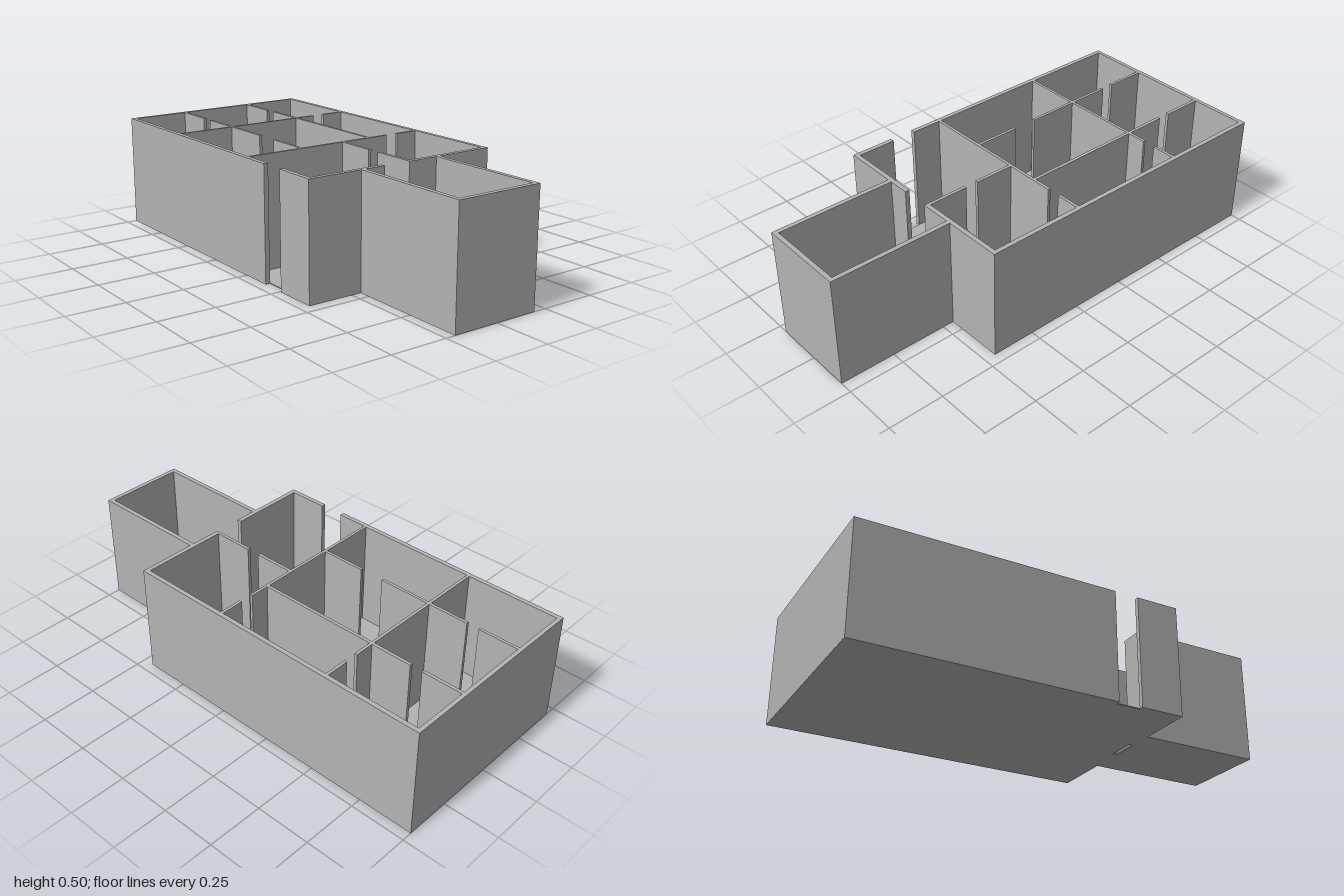
import * as THREE from 'three';

const H = 0.5;          // wall height
const FLOOR = 0.004;    // floor thickness

export function createModel() {
  const model = new THREE.Group();
  model.name = 'floorPlan';
  const plaster = new THREE.MeshStandardMaterial({ color: 0xb3b3b3 });
  plaster.name = 'grey plaster';

  // Block spanning x0..x1, z0..z1, standing on the ground
  const block = (parent, name, x0, x1, z0, z1, h = H) => {
    const mesh = new THREE.Mesh(new THREE.BoxGeometry(x1 - x0, h, z1 - z0), plaster);
    mesh.position.set((x0 + x1) / 2, h / 2, (z0 + z1) / 2);
    mesh.name = name;
    parent.add(mesh);
  };
  const section = (name) => {
    const g = new THREE.Group();
    g.name = name;
    model.add(g);
    return g;
  };

  // Outer walls, with door gaps in the front and right sides
  const outer = section('outerWalls');
  block(outer, 'backWall', -1, 0.45, -0.455, -0.435);
  block(outer, 'leftEndWall', -1, -0.982, -0.435, 0.435);
  block(outer, 'frontWallLong', -1, 0.145, 0.435, 0.455);
  block(outer, 'frontWallShort', 0.255, 0.45, 0.435, 0.455);
  block(outer, 'sideWallBack', 0.43, 0.45, -0.435, -0.031);
  block(outer, 'sideWallFront', 0.43, 0.45, 0.092, 0.435);

  // Side room joined to the main block
  const annex = section('sideRoom');
  block(annex, 'sideRoomBackWall', 0.45, 1, -0.192, -0.172);
  block(annex, 'sideRoomFrontWall', 0.45, 1, 0.187, 0.207);
  block(annex, 'sideRoomEndWall', 0.98, 1, -0.172, 0.187);
  block(annex, 'sideRoomFloor', 0.45, 0.98, -0.172, 0.187, FLOOR);

  // Partitions running front to back: [x0, x1, z spans]
  const inner = section('partitions');
  for (const [x0, x1] of [[-0.561, -0.548], [-0.005, 0.008]]) {
    for (const [z0, z1] of [[-0.435, -0.33], [-0.272, 0.435]]) {
      block(inner, 'crossPartition', x0, x1, z0, z1);
    }
  }

  // Partitions running left to right, broken at the doorways
  const rows = [
    { z0: -0.186, z1: -0.172, spans: [[-0.982, -0.8], [-0.745, -0.561], [-0.548, -0.005]] },
    { z0: 0.167, z1: 0.18, spans: [[-0.982, -0.8], [-0.745, -0.561], [-0.548, -0.315], [-0.205, -0.005]] },
    { z0: -0.045, z1: -0.031, spans: [[0.008, 0.188], [0.247, 0.43]] },
  ];
  for (const { z0, z1, spans } of rows) {
    for (const [x0, x1] of spans) block(inner, 'longPartition', x0, x1, z0, z1);
  }

  // Main floor, inside the outer walls
  block(model, 'mainFloor', -0.982, 0.43, -0.435, 0.435, FLOOR);

  return model;
}
